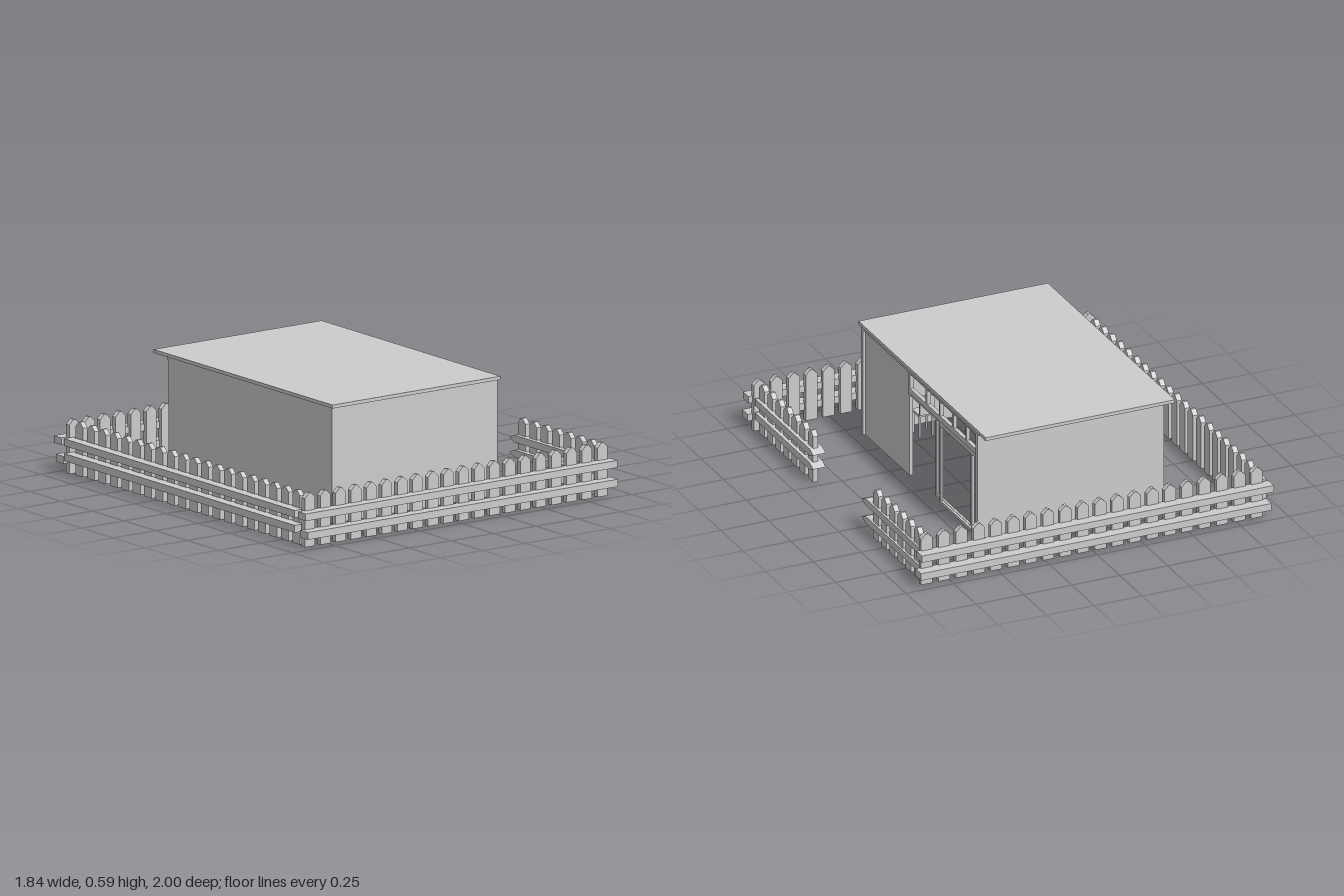
import * as THREE from 'three';

export function createModel() {
  const model = new THREE.Group();
  const grey = new THREE.MeshStandardMaterial({ color: 0xcccccc });
  grey.name = 'plain grey';

  const group = (name) => {
    const g = new THREE.Group();
    g.name = name;
    model.add(g);
    return g;
  };
  const add = (parent, name, geometry) => {
    const m = new THREE.Mesh(geometry, grey);
    m.name = name;
    parent.add(m);
    return m;
  };
  // Box given by its limits along each axis
  const box = (parent, name, [x0, x1], [y0, y1], [z0, z1]) =>
    add(parent, name, new THREE.BoxGeometry(x1 - x0, y1 - y0, z1 - z0))
      .position.set((x0 + x1) / 2, (y0 + y1) / 2, (z0 + z1) / 2);
  // Flat outline, given thickness centred on its plane
  const plank = (points, depth) => {
    const shape = new THREE.Shape(points.map(([x, y]) => new THREE.Vector2(x, y)));
    return new THREE.ExtrudeGeometry(shape, { depth, bevelEnabled: false }).translate(0, 0, -depth / 2);
  };

  // ---- Picket fence ----
  const picketGeometry = plank([[-0.03, 0], [0.03, 0], [0.03, 0.238], [0.006, 0.262], [-0.006, 0.262], [-0.03, 0.238]], 0.026);
  const pickets = (parent, count, first, last, place, sideways) => {
    for (let i = 0; i < count; i++) {
      const u = first + (last - first) * i / (count - 1);
      const p = add(parent, 'picket', picketGeometry);
      p.position.set(...place(u));
      if (sideways) p.rotation.y = -Math.PI / 2;
    }
  };
  const upper = [0.143, 0.178], lower = [0.05, 0.086], raised = [0.07, 0.106];

  // Front and back runs, rails outside the pickets
  for (const s of [1, -1]) {
    const run = group(s > 0 ? 'frontFence' : 'backFence');
    pickets(run, 20, -0.858, 0.866, (u) => [u, 0, s * 0.935], false);
    const z = s > 0 ? [0.938, 1] : [-1, -0.938];
    box(run, 'upperRail', [-0.922, 0.916], upper, z);
    box(run, 'lowerRail', [-0.91, 0.92], lower, z);
  }

  // Closed side
  const closed = group('rightFence');
  pickets(closed, 20, -0.862, 0.858, (u) => [-0.86, 0, u], true);
  for (const y of [upper, raised]) box(closed, 'rail', [-0.922, -0.866], y, [-0.918, 0.912]);

  // Gateway side: two short runs whose rails end in points
  const gateRun = (name, count, first, last, outer, tip, x, width, levels) => {
    const run = group(name);
    pickets(run, count, first, last, (u) => [0.867, 0, u], true);
    const neck = tip + Math.sign(outer) * 0.04;
    for (const [y0, y1] of levels) {
      const pts = [[outer, y0], [neck, y0], [tip, (y0 + y1) / 2], [neck, y1], [outer, y1]];
      const rail = add(run, 'pointedRail', plank(pts, width));
      rail.rotation.y = -Math.PI / 2;
      rail.position.x = x;
    }
  };
  gateRun('gateFenceFront', 7, 0.322, 0.866, 0.905, 0.253, 0.865, 0.066, [upper, raised]);
  gateRun('gateFenceBack', 6, -0.407, -0.861, -0.915, -0.27, 0.861, 0.058, [upper, lower]);

  // ---- House shell, open underneath ----
  const house = group('house');
  const [L, R, F, B] = [-0.52, 0.455, 0.667, -0.632];
  box(house, 'roof', [-0.53, 0.46], [0.575, 0.592], [-0.735, 0.685]);
  box(house, 'frontWall', [L, R], [0.01, 0.575], [F - 0.022, F]);
  box(house, 'backWall', [L, R], [0.01, 0.575], [B, B + 0.02]);
  box(house, 'closedSideWall', [L, L + 0.02], [0.01, 0.575], [B + 0.02, F - 0.022]);
  box(house, 'recessedWallPanel', [0.425, 0.443], [0.01, 0.56], [0.15, F - 0.022]);
  box(house, 'wallHeader', [0.425, R], [0.56, 0.575], [B + 0.02, F - 0.022]);
  box(house, 'eaveTrim', [L, R], [0.56, 0.575], [B - 0.01, B]);

  // Row of five openings above the doorway
  const transom = new THREE.Shape([[0.15, 0.447], [B + 0.02, 0.447], [B + 0.02, 0.56], [0.15, 0.56]]
    .map(([z, y]) => new THREE.Vector2(z, y)));
  for (const [a, b] of [[-0.04, 0.135], [-0.19, -0.055], [-0.335, -0.2], [-0.485, -0.35], [-0.615 + 0.01, -0.495]]) {
    transom.holes.push(new THREE.Path([[a, 0.472], [b, 0.472], [b, 0.547], [a, 0.547]]
      .map(([z, y]) => new THREE.Vector2(z, y))));
  }
  const windows = add(house, 'transomWindows',
    new THREE.ExtrudeGeometry(transom, { depth: 0.02, bevelEnabled: false }));
  windows.rotation.y = -Math.PI / 2;
  windows.position.x = 0.448;

  // Sliding door frames
  const doors = group('slidingDoors');
  const doorFrame = (x, z0, z1) => {
    for (const z of [z0, z1 - 0.014]) box(doors, 'doorStile', [x, x + 0.012], [0.02, 0.44], [z, z + 0.014]);
    box(doors, 'doorTopRail', [x, x + 0.012], [0.425, 0.44], [z0 + 0.014, z1 - 0.014]);
    box(doors, 'doorBottomRail', [x, x + 0.012], [0.02, 0.034], [z0 + 0.014, z1 - 0.014]);
  };
  doorFrame(0.438, -0.6, -0.2);
  doorFrame(0.424, -0.53, -0.125);
  box(doors, 'doorJamb', [0.425, 0.45], [0.01, 0.447], [B + 0.02, -0.6]);
  box(doors, 'doorLintel', [0.425, 0.45], [0.438, 0.447], [-0.6, 0.15]);

  // ---- Furniture ----
  const bed = group('bed');
  box(bed, 'mattress', [-0.49, -0.14], [0.04, 0.07], [0.31, 0.63]);
  box(bed, 'endBoard', [-0.14, -0.12], [0.01, 0.12], [0.29, 0.64]);
  box(bed, 'sideBoard', [-0.49, -0.14], [0.01, 0.12], [0.29, 0.31]);
  box(bed, 'nightstand', [-0.49, -0.43], [0.01, 0.08], [0.21, 0.27]);

  const chair = group('chair');
  box(chair, 'seat', [0.15, 0.23], [0.12, 0.132], [0.5, 0.58]);
  box(chair, 'backrest', [0.15, 0.23], [0.132, 0.23], [0.49, 0.5]);
  for (const x of [0.152, 0.22]) for (const z of [0.502, 0.57]) {
    box(chair, 'leg', [x, x + 0.008], [0.01, 0.12], [z, z + 0.008]);
  }

  return model;
}
